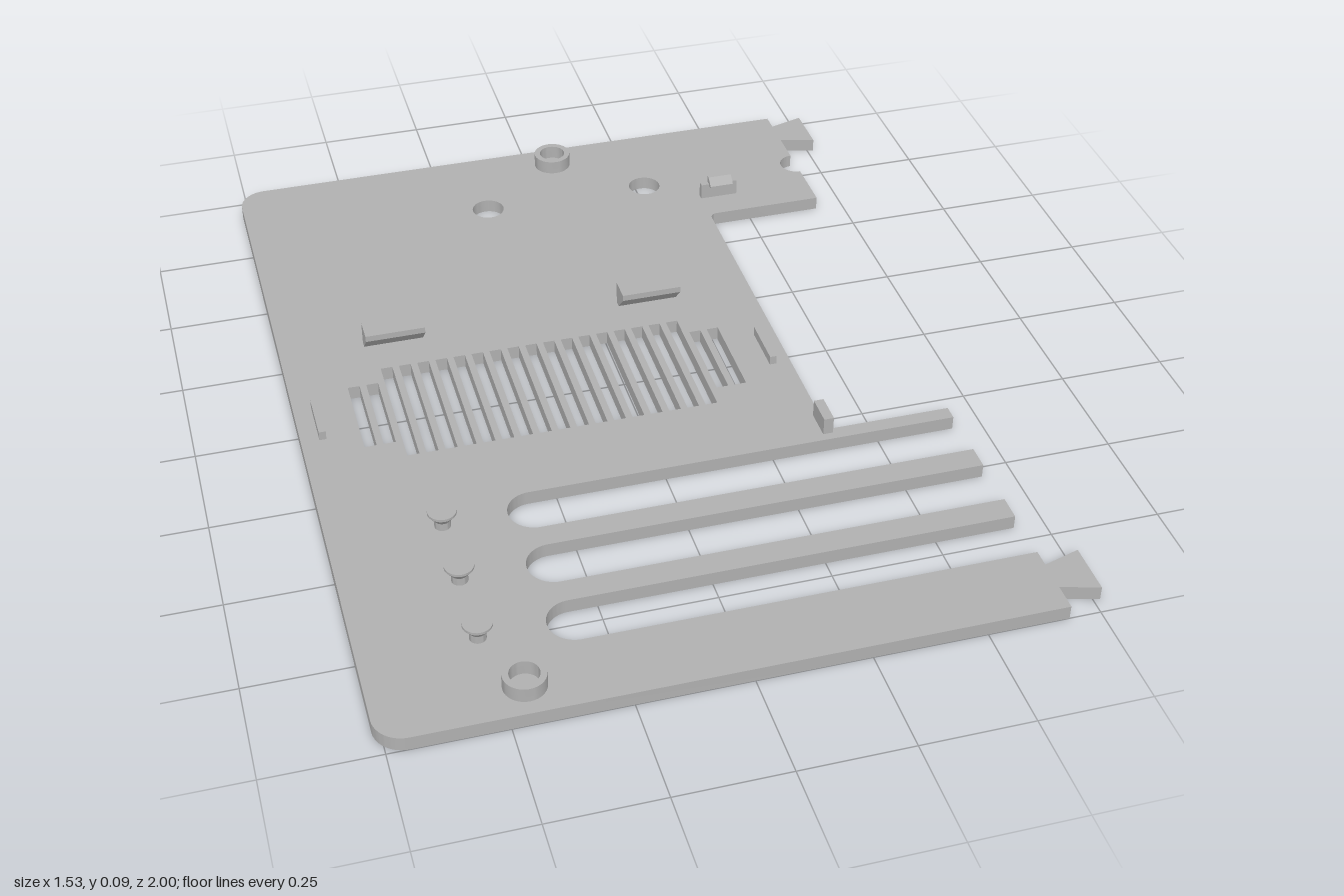
import * as THREE from 'three';
import { toCreasedNormals } from 'three/addons/utils/BufferGeometryUtils.js';

const T = 0.033; // plate thickness

export function createModel() {
  const group = new THREE.Group();
  const grey = new THREE.MeshStandardMaterial({ color: 0xb0b0b0 });
  grey.name = 'plain grey';

  const add = (name, geometry, x = 0, y = 0, z = 0) => {
    const mesh = new THREE.Mesh(geometry, grey);
    mesh.name = name;
    mesh.position.set(x, y, z);
    group.add(mesh);
  };
  const box = (name, x0, x1, y0, y1, z0, z1) =>
    add(name, new THREE.BoxGeometry(x1 - x0, y1 - y0, z1 - z0), (x0 + x1) / 2, (y0 + y1) / 2, (z0 + z1) / 2);
  const lathe = (name, profile, x, z) =>
    add(name, toCreasedNormals(new THREE.LatheGeometry(profile.map(p => new THREE.Vector2(...p)), 32), 0.6), x, 0, z);
  // Profile of [z, y] points swept along x
  const sweep = (name, profile, x0, x1) => {
    const shape = new THREE.Shape(profile.map(([z, y]) => new THREE.Vector2(-z, y)));
    const g = new THREE.ExtrudeGeometry(shape, { depth: x1 - x0, bevelEnabled: false });
    add(name, g.rotateY(Math.PI / 2), x0);
  };

  // Plate outline, drawn in x and z
  const L = -0.767, R = 0.68, r = 0.065;
  const s = new THREE.Shape();
  const dovetail = (z0, z1) => {
    s.lineTo(R, z0);
    s.lineTo(0.765, z0 - 0.025);
    s.lineTo(0.765, z1 + 0.025);
    s.lineTo(R, z1);
  };
  s.moveTo(L + r, -1);
  s.lineTo(R, -1);
  dovetail(-0.957, -0.886);
  s.lineTo(R, -0.803);
  s.absarc(R, -0.763, 0.04, -Math.PI / 2, Math.PI / 2, true);
  s.lineTo(R, -0.59);
  s.lineTo(0.41, -0.59);
  s.quadraticCurveTo(0.39, -0.59, 0.39, -0.57);
  s.lineTo(0.39, 0.32);
  s.lineTo(R, 0.32);
  for (const [z0, z1] of [[0.355, 0.473], [0.531, 0.65], [0.709, 0.827]]) {
    const h = (z1 - z0) / 2;
    s.lineTo(R, z0);
    s.absarc(-0.373 + h, z0 + h, h, -Math.PI / 2, Math.PI / 2, true);
    s.lineTo(R, z1);
  }
  dovetail(0.868, 0.939);
  s.lineTo(R, 1);
  s.lineTo(L + r, 1);
  s.absarc(L + r, 1 - r, r, Math.PI / 2, Math.PI, false);
  s.lineTo(L, -1 + r);
  s.absarc(L + r, -1 + r, r, Math.PI, Math.PI * 1.5, false);

  // Round holes
  for (const x of [-0.155, 0.263]) {
    s.holes.push(new THREE.Path().absarc(x, -0.763, 0.04, 0, Math.PI * 2, true));
  }
  // Vent slots: seventeen long, two short at each end
  for (let i = -2; i < 19; i++) {
    const x = -0.531 + i * 0.0434, w = 0.0138;
    const [z0, z1] = i < 0 || i > 16 ? [-0.115, 0.108] : [-0.167, 0.162];
    s.holes.push(new THREE.Path([[x - w, z0], [x - w, z1], [x + w, z1], [x + w, z0]]
      .map(p => new THREE.Vector2(...p))));
  }
  const plate = new THREE.ExtrudeGeometry(s, { depth: T, bevelEnabled: false, curveSegments: 16 });
  add('plate', toCreasedNormals(plate.rotateX(Math.PI / 2), 0.5), 0, T, 0);

  // Ring bosses
  for (const [x, z] of [[0.056, -0.93], [-0.455, 0.922]]) {
    lathe('ringBoss', [[0.046, T], [0.046, 0.067], [0.032, 0.067], [0.032, T]], x, z);
  }
  // Flared studs
  for (const z of [0.413, 0.59, 0.767]) {
    lathe('stud', [[0.018, T], [0.018, 0.052], [0.032, 0.07], [0.032, 0.076], [0, 0.076]], -0.516, z);
  }
  // Hooked catches behind the vent
  for (const [x0, x1] of [[-0.567, -0.425], [0.058, 0.202]]) {
    sweep('catch', [[-0.28, T], [-0.28, 0.09], [-0.223, 0.09], [-0.223, 0.075], [-0.262, T]], x0, x1);
  }
  // Small clip near the cutout
  box('clipPost', 0.39, 0.485, T, 0.073, -0.682, -0.666);
  sweep('clipHook', [[-0.682, 0.073], [-0.682, 0.09], [-0.672, 0.09], [-0.651, 0.074], [-0.651, 0.068], [-0.667, 0.068]],
    0.41, 0.47);
  // Locating ribs either side of the vent
  for (const x of [-0.717, 0.347]) box('rib', x - 0.008, x + 0.008, T, 0.055, -0.065, 0.057);
  // Corner post
  box('cornerPost', 0.374, 0.397, 0.002, 0.075, 0.264, 0.335);

  return group;
}
